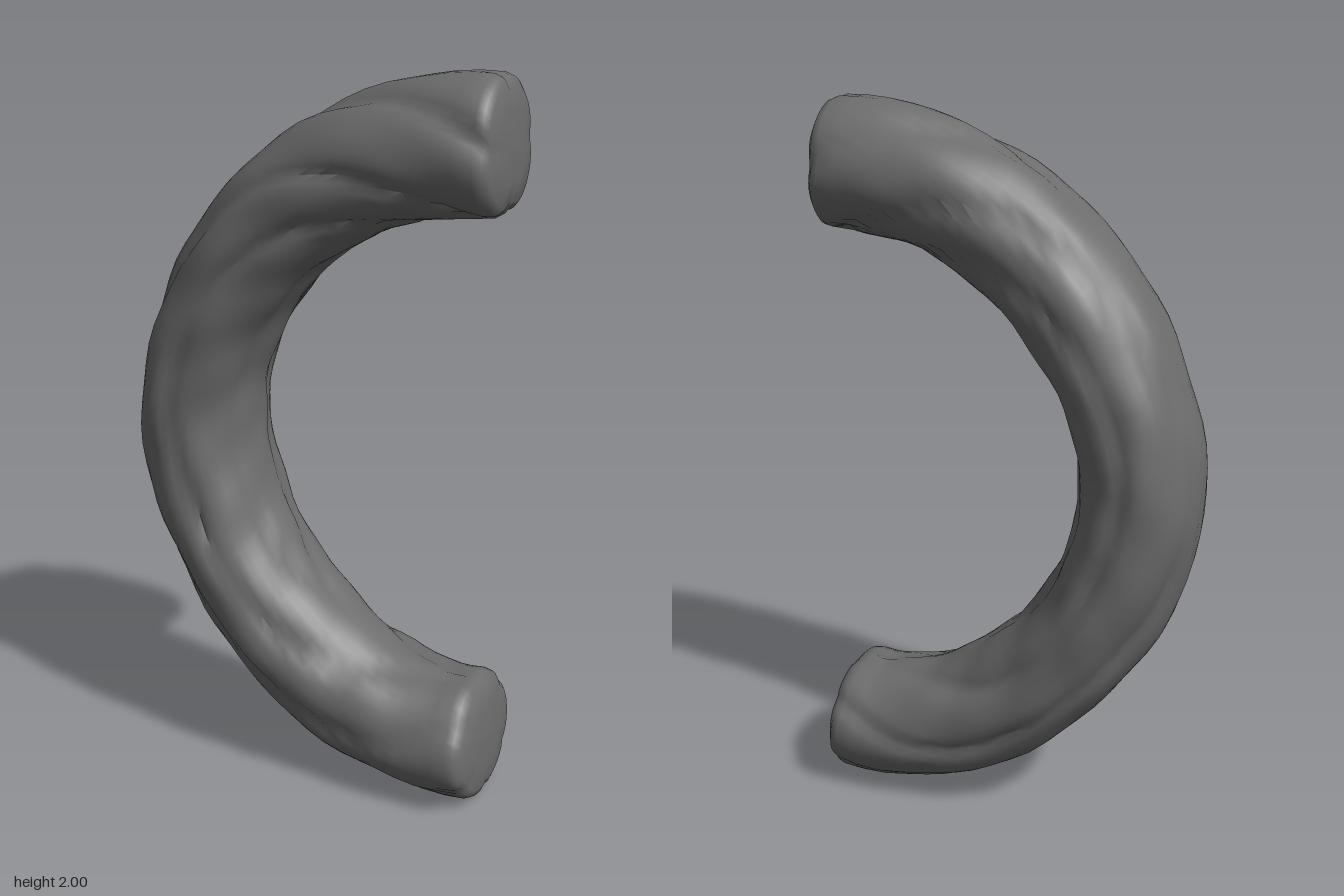
import * as THREE from 'three';
import { toCreasedNormals } from 'three/addons/utils/BufferGeometryUtils.js';

const AROUND = 48, ALONG = 52;

// centre line of the arch, from the upper end to the lower end
const path = new THREE.CatmullRomCurve3([
  [0.53, 1.83], [0.36, 1.82], [0.12, 1.75], [-0.12, 1.575], [-0.3, 1.3], [-0.365, 1.03],
  [-0.3, 0.72], [-0.13, 0.455], [0.11, 0.26], [0.37, 0.185], [0.53, 0.195],
].map(([x, y]) => new THREE.Vector3(x, y, 0)));

// knotty strands, mirrored front to back: narrow grooves slide to the outer side at mid-length
function strandRadius(phi, t) {
  const p = Math.abs(phi);
  const drift = 1.55 * Math.sin(Math.PI * Math.pow(t, 0.9));
  const strands = 2 + Math.min(1, t * 5);
  const u = strands * (p + drift) + 0.35 * Math.sin(13 * t + 2 * p);
  const lobe = Math.tanh(2.2 * Math.sqrt(Math.sin(u) ** 2 + 0.004));
  const depth = 0.1 + 0.07 * Math.max(0, 1 - 6 * t);
  const fade = Math.min(1, 8 * t, 8 * (1 - t));
  const knots = 0.012 * Math.sin(23 * t + 3 * p) + 0.014 * Math.sin(43 * t - 5 * p + 1)
    + 0.012 * Math.sin(71 * t + 4 * p);
  return 1.01 - depth * 0.84 + depth * lobe + knots * fade;
}

function createBranch() {
  // rings as [t, scale]; the extra ones round off the cut ends
  const cap = [[0, 0.001], [0.001, 0.5], [0.004, 0.85], [0.009, 0.96]];
  const rings = [...cap];
  for (let i = 0; i <= ALONG; i++) rings.push([0.017 + 0.966 * i / ALONG, 1]);
  for (const [t, s] of [...cap].reverse()) rings.push([1 - t, s]);

  const positions = [], index = [];
  rings.forEach(([t, s], i) => {
    const c = path.getPointAt(t), d = path.getTangentAt(t);
    const radial = 0.17 + 0.004 * Math.cos(2 * Math.PI * t);
    const side = 0.172 + 0.042 * Math.sin(Math.PI * Math.min(1, t * 0.78));
    for (let j = 0; j <= AROUND; j++) {
      const phi = (j === AROUND ? 0 : j / AROUND) * 2 * Math.PI;
      const signed = phi > Math.PI ? phi - 2 * Math.PI : phi;
      const r = s * strandRadius(signed, t);
      const out = r * radial * Math.cos(phi);
      positions.push(c.x + d.y * out, c.y - d.x * out, r * side * Math.sin(phi));
      if (i < rings.length - 1 && j < AROUND) {
        const a = i * (AROUND + 1) + j, b = a + AROUND + 1;
        index.push(a, b, a + 1, b, b + 1, a + 1);
      }
    }
  });
  const geometry = new THREE.BufferGeometry();
  geometry.setAttribute('position', new THREE.Float32BufferAttribute(positions, 3));
  geometry.setIndex(index);
  return toCreasedNormals(geometry, 0.9);
}

export function createModel() {
  const group = new THREE.Group();
  group.name = 'curvedBranch';
  const bark = new THREE.MeshStandardMaterial({ color: 0x6c6c6c });
  bark.name = 'dark grey bark';
  const branch = new THREE.Mesh(createBranch(), bark);
  branch.name = 'twistedBranch';
  group.add(branch);
  return group;
}
